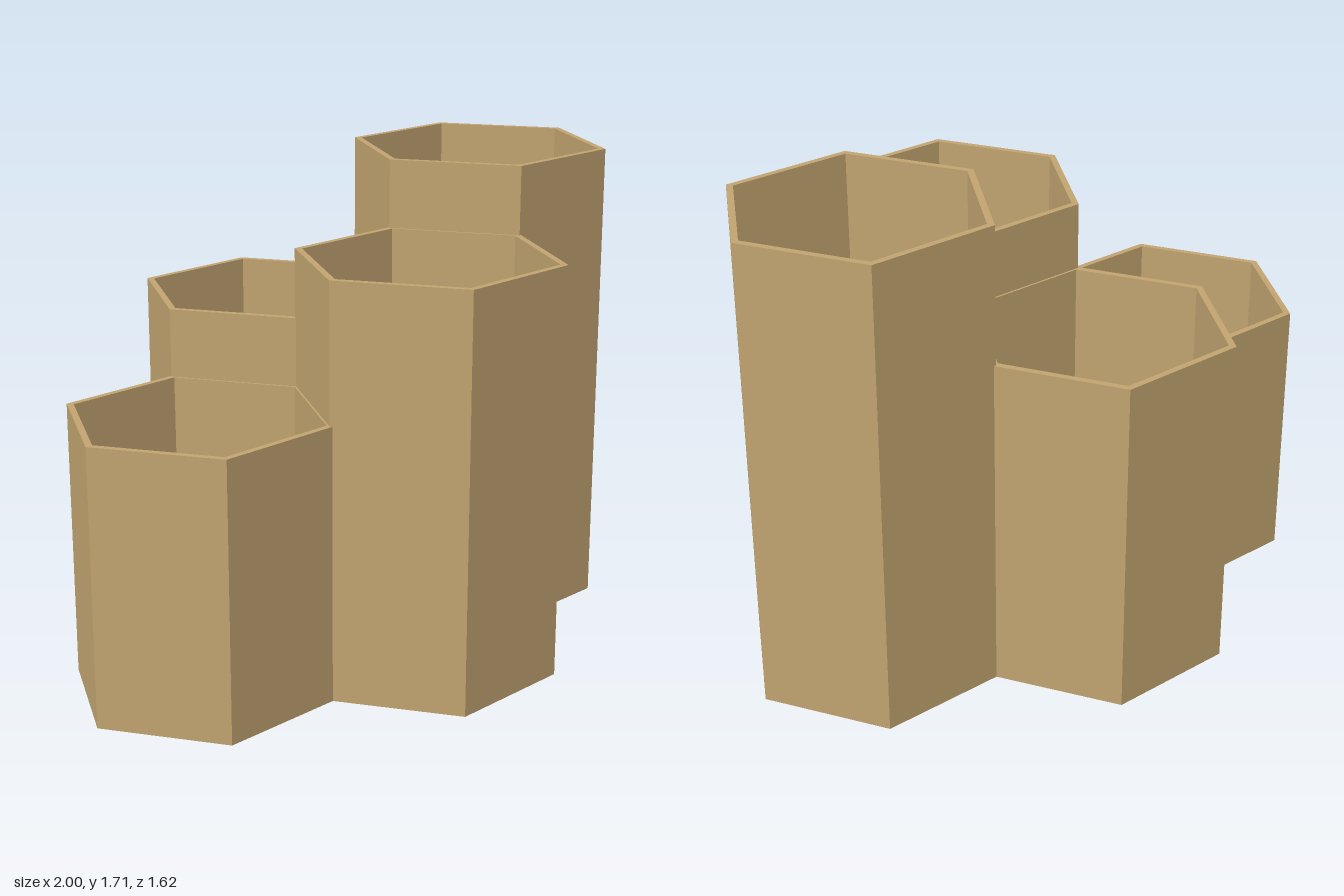
import * as THREE from 'three';

const OUTER = 0.467; // corner radius of a cell
const INNER = 0.441; // corner radius of its hollow
const FLOOR = 0.03;

// Open-topped six-sided cup, a corner pointing to +z
function hexCup(height) {
  const profile = [
    [0, 0], [OUTER, 0], [OUTER, height], [INNER, height], [INNER, FLOOR], [0, FLOOR],
  ].map(([r, y]) => new THREE.Vector2(r, y));
  const geometry = new THREE.LatheGeometry(profile, 6).toNonIndexed();
  geometry.computeVertexNormals(); // flat faces
  return geometry;
}

export function createModel() {
  const model = new THREE.Group();
  model.name = 'hexagonalOrganizer';

  const tan = new THREE.MeshStandardMaterial({ color: 0xc2a470 });
  tan.name = 'tan';

  // Four nested cells stepping up in height
  const cells = [
    ['frontRightCup', -0.596, 0.344, 0.98],
    ['backRightCup', -0.199, -0.344, 1.224],
    ['frontLeftCup', 0.197, 0.344, 1.468],
    ['backLeftCup', 0.595, -0.344, 1.712],
  ];
  for (const [name, x, z, height] of cells) {
    const cup = new THREE.Mesh(hexCup(height), tan);
    cup.name = name;
    cup.position.set(x, 0, z);
    model.add(cup);
  }
  return model;
}
